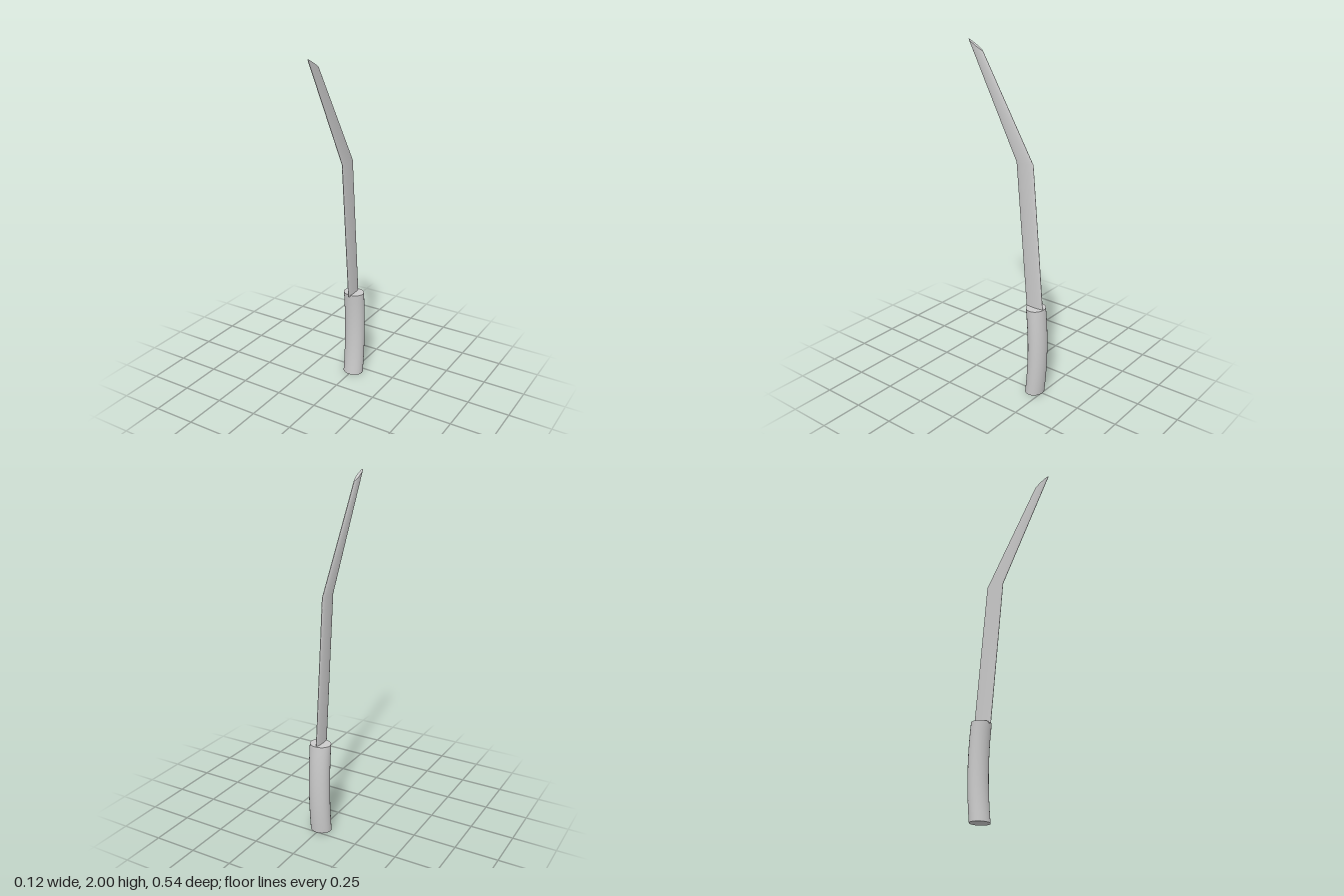
import * as THREE from 'three';

const SIDES = 24;

// Joins elliptical rings into a closed solid with smooth sides and sharp end caps.
// Each ring gives its front and back edge as [z, y] and its half width in x.
function loft(rings) {
  const pos = [], index = [];
  const addRing = ({ front, back, halfWidth }) => {
    const start = pos.length / 3;
    for (let j = 0; j < SIDES; j++) {
      const a = (j / SIDES) * Math.PI * 2;
      const t = (1 - Math.cos(a)) / 2;
      pos.push(
        halfWidth * Math.sin(a),
        THREE.MathUtils.lerp(front[1], back[1], t),
        THREE.MathUtils.lerp(front[0], back[0], t)
      );
    }
    return start;
  };

  // side walls
  const starts = rings.map(addRing);
  for (let i = 0; i < starts.length - 1; i++) {
    for (let j = 0; j < SIDES; j++) {
      const k = (j + 1) % SIDES;
      const a = starts[i] + j, b = starts[i] + k;
      const c = starts[i + 1] + k, d = starts[i + 1] + j;
      index.push(a, b, c, a, c, d);
    }
  }

  // end caps, with their own vertices so the rims stay crisp
  const bottom = addRing(rings[0]);
  const top = addRing(rings[rings.length - 1]);
  for (let j = 1; j < SIDES - 1; j++) {
    index.push(bottom, bottom + j + 1, bottom + j);
    index.push(top, top + j, top + j + 1);
  }

  const geometry = new THREE.BufferGeometry();
  geometry.setAttribute('position', new THREE.Float32BufferAttribute(pos, 3));
  geometry.setIndex(index);
  geometry.computeVertexNormals();
  return geometry;
}

export function createModel() {
  const group = new THREE.Group();
  const material = new THREE.MeshStandardMaterial({ color: 0xcccccc });
  const add = (name, geometry) => {
    const mesh = new THREE.Mesh(geometry, material);
    mesh.name = name;
    group.add(mesh);
  };

  // grip: an oval bar bowed gently backwards
  const gripRings = [];
  for (let i = 0; i <= 12; i++) {
    const t = i / 12;
    const y = 0.545 * t;
    const z = -0.2 - 0.064 * t * (1 - t);
    gripRings.push({ front: [z + 0.054, y], back: [z - 0.054, y], halfWidth: 0.062 });
  }
  add('handle', loft(gripRings));

  // thin blade: straight lower part, forward bend, slanted tip
  add('blade', loft([
    { front: [-0.135, 0.537], back: [-0.249, 0.537], halfWidth: 0.0095 },
    { front: [-0.058, 1.377], back: [-0.172, 1.377], halfWidth: 0.0095 },
    { front: [0.268, 2.0], back: [0.17, 1.945], halfWidth: 0.0095 },
  ]));

  return group;
}
